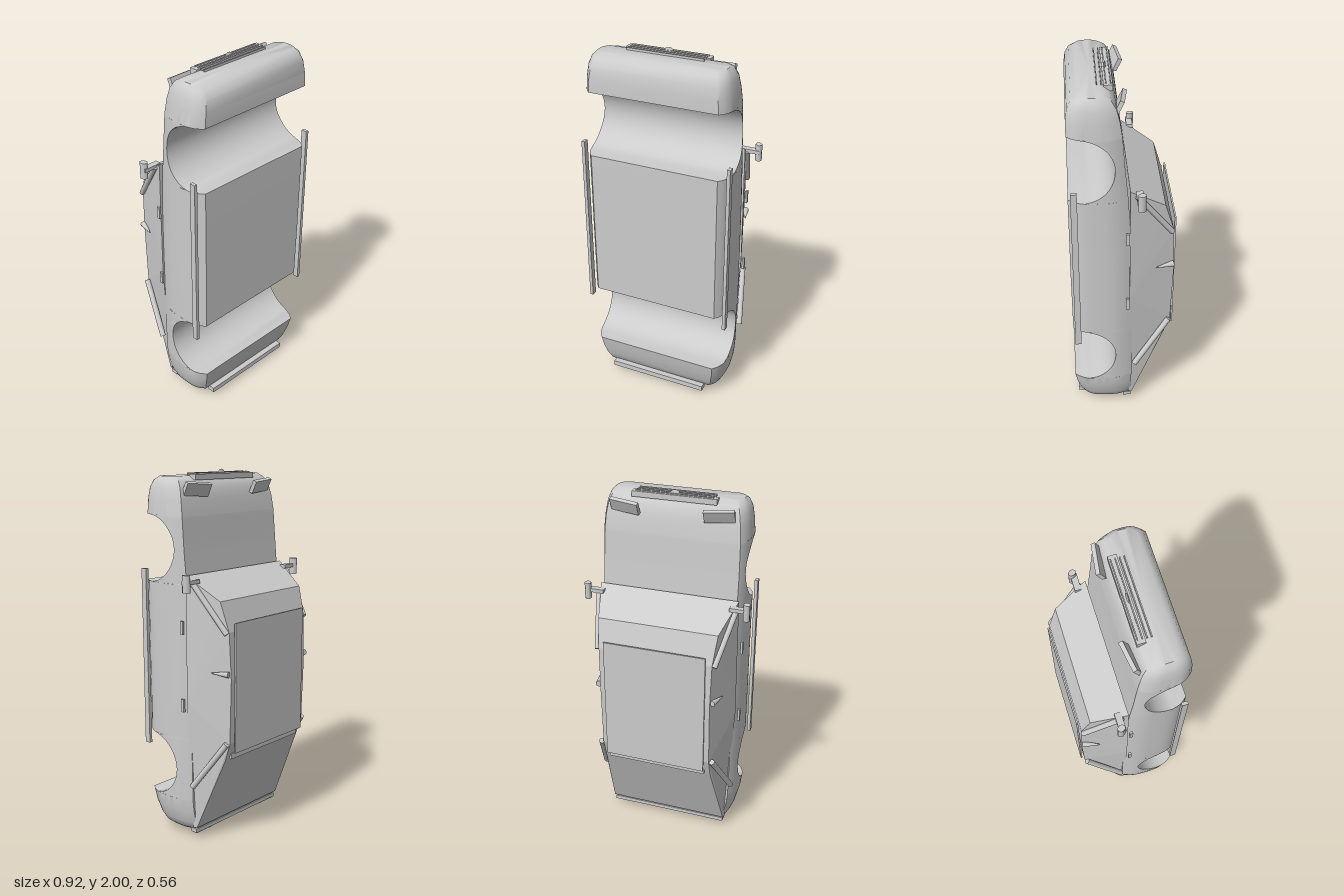
import * as THREE from 'three';
import { toCreasedNormals } from 'three/addons/utils/BufferGeometryUtils.js';
import { ConvexGeometry } from 'three/addons/geometries/ConvexGeometry.js';

const grey = new THREE.MeshStandardMaterial({ color: 0xcccccc });
grey.name = 'plain grey';

// Car stands on its tail: nose +y, underside +z, roof -z.
// Body stations: y, top z, underside z, half width
const STATIONS = [
  [0.045, -0.02, 0.205, 0.335], [0.06, -0.04, 0.222, 0.355], [0.1, -0.045, 0.24, 0.375],
  [0.17, -0.045, 0.262, 0.392], [0.235, -0.045, 0.276, 0.4], [0.6, -0.045, 0.277, 0.405],
  [0.95, -0.042, 0.28, 0.405], [1.2, -0.035, 0.28, 0.405], [1.42, -0.022, 0.28, 0.405],
  [1.6, -0.005, 0.278, 0.405], [1.77, 0.008, 0.278, 0.402], [1.85, 0.02, 0.278, 0.395],
  [1.91, 0.035, 0.27, 0.385], [1.95, 0.06, 0.25, 0.37], [1.97, 0.09, 0.22, 0.35],
];
const ARCHES = [0.41, 1.6];
const ARCH_R = 0.175, ARCH_Z = 0.22, SIDE = 14;

function stationAt(y) {
  let i = 0;
  while (i < STATIONS.length - 2 && STATIONS[i + 1][0] < y) i++;
  const a = STATIONS[i], b = STATIONS[i + 1];
  const k = (y - a[0]) / (b[0] - a[0]);
  return a.map((v, j) => v + (b[j] - v) * k);
}

// Bulging side: widest below the shoulder, tucked in at both edges
const bulge = (t) => t < 0.4
  ? 1 - 0.08 * ((0.4 - t) / 0.4) ** 2
  : 1 - 0.12 * ((t - 0.4) / 0.6) ** 4;

function ring(y, cut) {
  const [, top, full, w] = stationAt(y);
  const bottom = Math.min(full, cut);
  const right = [];
  for (let i = 0; i <= SIDE; i++) {
    const z = top + (bottom - top) * (i / SIDE);
    right.push([w * bulge((z - top) / (full - top)), y, z]);
  }
  return [...right, ...right.map(([x, yy, z]) => [-x, yy, z]).reverse()];
}

function bodyGeometry() {
  const cuts = [];
  for (const [y] of STATIONS) {
    if (!ARCHES.some((c) => Math.abs(y - c) <= ARCH_R + 1e-6)) cuts.push([y, 9]);
  }
  // Wheel arches run right across the underside
  for (const c of ARCHES) {
    cuts.push([c - ARCH_R - 0.0005, 9], [c + ARCH_R + 0.0005, 9]);
    for (let i = 0; i <= 20; i++) {
      const a = Math.PI * i / 20;
      cuts.push([c - ARCH_R * Math.cos(a), ARCH_Z - ARCH_R * Math.sin(a)]);
    }
  }
  cuts.sort((a, b) => a[0] - b[0]);
  const rings = cuts.map(([y, cut]) => ring(y, cut));
  const n = rings[0].length, pos = rings.flat(2), index = [];
  for (let i = 0; i < rings.length - 1; i++) {
    for (let j = 0; j < n; j++) {
      const a = i * n + j, b = i * n + (j + 1) % n;
      index.push(a, a + n, b, b, a + n, b + n);
    }
  }
  const last = (rings.length - 1) * n, c0 = pos.length / 3;
  pos.push(0, cuts[0][0], 0.09, 0, cuts[cuts.length - 1][0], 0.15);
  for (let j = 0; j < n; j++) {
    const k = (j + 1) % n;
    index.push(c0, j, k, c0 + 1, last + k, last + j);
  }
  const g = new THREE.BufferGeometry();
  g.setAttribute('position', new THREE.Float32BufferAttribute(pos, 3));
  g.setIndex(index);
  return toCreasedNormals(g, 0.75);
}

// Cabin profile: half width, y, z
const CABIN = [
  [0.385, 1.475, -0.03], [0.39, 0.8, -0.03], [0.35, 0.07, -0.03], [0.345, 0.07, -0.05],
  [0.33, 1.355, -0.215], [0.315, 1.2, -0.262], [0.31, 0.95, -0.272],
  [0.31, 0.6, -0.262], [0.31, 0.5, -0.23],
];

export function createModel() {
  const car = new THREE.Group();
  car.name = 'car';
  const add = (name, geometry, x = 0, y = 0, z = 0) => {
    const m = new THREE.Mesh(geometry, grey);
    m.name = name;
    m.position.set(x, y, z);
    car.add(m);
    return m;
  };
  const box = (name, sx, sy, sz, x, y, z) => add(name, new THREE.BoxGeometry(sx, sy, sz), x, y, z);
  const rod = (name, from, to, r0, r1) => {
    const a = new THREE.Vector3(...from), b = new THREE.Vector3(...to);
    const d = b.clone().sub(a);
    const m = add(name, new THREE.CylinderGeometry(r1, r0, d.length(), 12));
    m.position.copy(a).add(b).multiplyScalar(0.5);
    m.quaternion.setFromUnitVectors(new THREE.Vector3(0, 1, 0), d.normalize());
    return m;
  };

  add('body', bodyGeometry());
  const hull = CABIN.flatMap(([x, y, z]) => [new THREE.Vector3(x, y, z), new THREE.Vector3(-x, y, z)]);
  add('cabin', new ConvexGeometry(hull));
  box('roofPanel', 0.565, 0.7, 0.009, 0, 0.895, -0.274);
  box('rearLip', 0.56, 0.03, 0.02, 0, 0.52, -0.237);

  for (const s of [1, -1]) {
    // Pillars and side trim
    rod('frontPillar', [s * 0.385, 1.45, -0.065], [s * 0.325, 1.19, -0.255], 0.015, 0.015);
    rod('rearPillar', [s * 0.385, 0.33, -0.06], [s * 0.325, 0.6, -0.252], 0.016, 0.016);
    rod('middlePillar', [s * 0.352, 0.98, -0.175], [s * 0.322, 0.98, -0.265], 0.003, 0.017);
    box('sideSkirt', 0.018, 0.97, 0.033, s * 0.409, 1.005, 0.251);
    for (const y of [0.785, 1.205]) box('doorHandle', 0.012, 0.07, 0.018, s * 0.408, y, -0.019);

    // Door mirrors
    box('mirrorArm', 0.1, 0.02, 0.035, s * 0.4, 1.45, -0.078);
    const head = add('mirrorHead', new THREE.CylinderGeometry(0.021, 0.021, 0.09, 8), s * 0.441, 1.445, -0.085);
    head.rotation.y = Math.PI / 8;
    head.scale.set(0.85, 1, 1.05);

    // Headlights
    const lamp = box('headlight', 0.16, 0.07, 0.022, s * 0.255, 1.905, 0.011);
    lamp.rotation.set(-0.45, -s * 0.15, 0);
  }

  // Grille and nose knob
  box('grilleFrame', 0.46, 0.03, 0.045, 0, 1.963, 0.068);
  for (const z of [0.055, 0.078, 0.1, 0.122]) box('grilleBar', 0.42, 0.012, 0.006, 0, 1.978, z);
  const knob = (name, y, z) => {
    add(name, new THREE.SphereGeometry(0.026, 20, 12), 0, y, z).scale.set(1, 0.8, 0.2);
  };
  knob('noseKnob', 1.979, 0.073);
  knob('tailKnob', 0.025, 0.042);

  // Tail: lamp strip with segments, and bumper
  box('tailLampStrip', 0.68, 0.022, 0.042, 0, 0.047, -0.022);
  for (let i = 0; i < 4; i++) {
    for (const s of [1, -1]) box('tailLampSegment', 0.024, 0.014, 0.03, s * (0.225 + i * 0.032), 0.037, -0.022);
  }
  box('rearBumper', 0.57, 0.03, 0.042, 0, 0.05, 0.236);
  return car;
}
